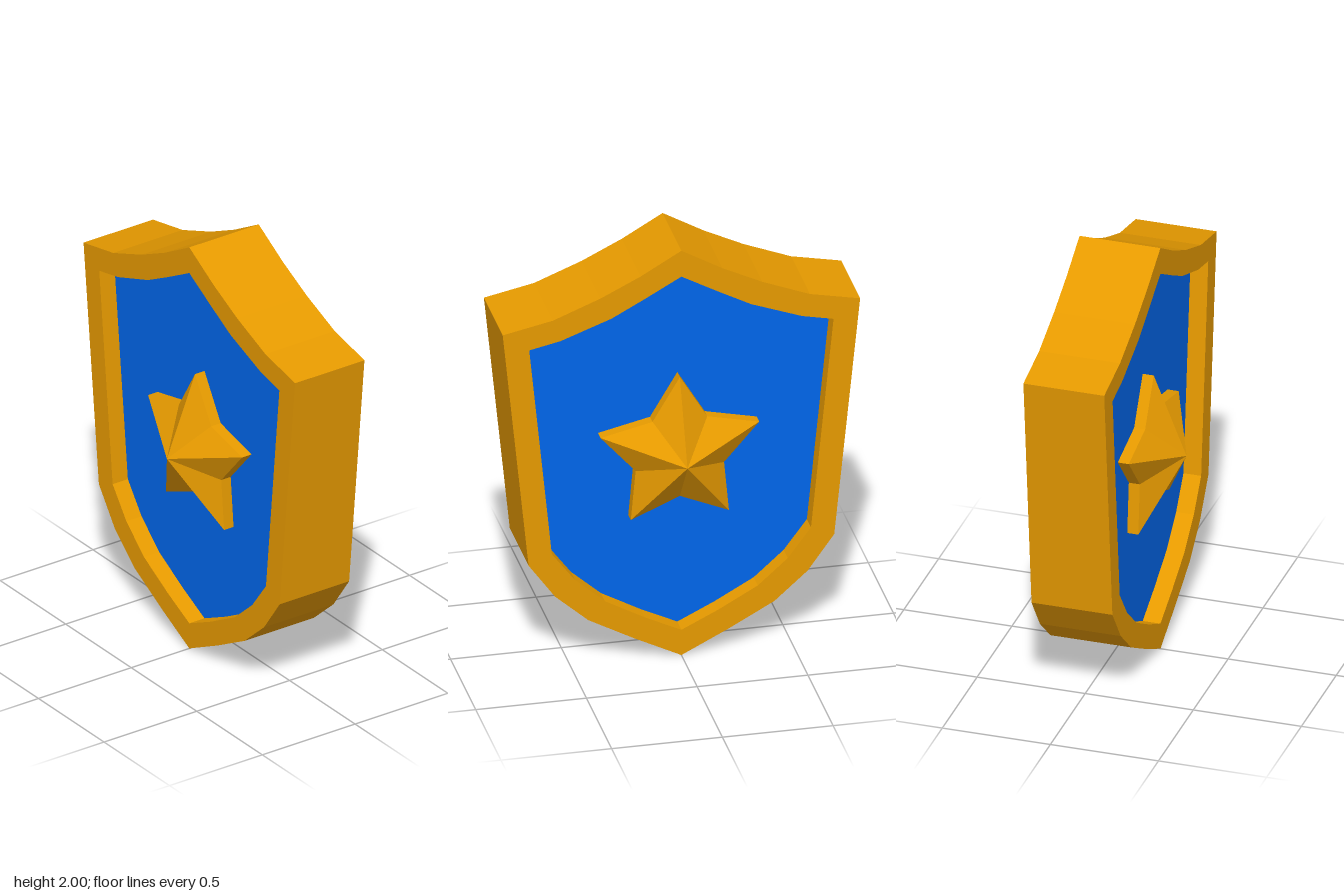
import * as THREE from 'three';

const GOLD = 0xe69a00, BLUE = 0x0066ea;

// Right half of each outline, from top point to bottom point
const OUTER = [[0, 2], [0.185, 1.893], [0.365, 1.805], [0.58, 1.72], [0.807, 1.673],
  [0.69, 0.52], [0.57, 0.353], [0.42, 0.22], [0.215, 0.108], [0, 0]];
const INNER = [[0, 1.872], [0.165, 1.78], [0.315, 1.7], [0.545, 1.615], [0.687, 1.585],
  [0.585, 0.565], [0.48, 0.425], [0.345, 0.305], [0.165, 0.205], [0, 0.125]];

// Mirror a half outline into a closed, counter-clockwise one
function mirrored(half) {
  const left = half.slice(1, -1).reverse().map(([x, y]) => [-x, y]);
  return [...half, ...left].reverse().map(([x, y]) => new THREE.Vector2(x, y));
}

// Extrude a shape centred on z = 0
function slab(shape, halfDepth) {
  const geo = new THREE.ExtrudeGeometry(shape, { depth: 2 * halfDepth, bevelEnabled: false });
  return geo.translate(0, 0, -halfDepth);
}

// Faceted star: a peak on front and back joined by short straight walls
function starGeometry(outerR, innerR, edgeZ, peakZ) {
  const pos = [];
  const corner = (i, z) => {
    const a = Math.PI / 2 + (i * Math.PI) / 5;
    const r = i % 2 ? innerR : outerR;
    return [r * Math.cos(a), r * Math.sin(a), z];
  };
  for (let i = 0; i < 10; i++) {
    const f0 = corner(i, edgeZ), f1 = corner(i + 1, edgeZ);
    const b0 = corner(i, -edgeZ), b1 = corner(i + 1, -edgeZ);
    pos.push(0, 0, peakZ, ...f0, ...f1);
    pos.push(0, 0, -peakZ, ...b1, ...b0);
    pos.push(...f0, ...b0, ...b1, ...f0, ...b1, ...f1);
  }
  const geo = new THREE.BufferGeometry();
  geo.setAttribute('position', new THREE.Float32BufferAttribute(pos, 3));
  geo.computeVertexNormals();
  return geo;
}

export function createModel() {
  const group = new THREE.Group();
  group.name = 'shield';
  const gold = new THREE.MeshStandardMaterial({ color: GOLD, flatShading: true });
  const blue = new THREE.MeshStandardMaterial({ color: BLUE, flatShading: true });
  const add = (name, geo, mat) => {
    const mesh = new THREE.Mesh(geo, mat);
    mesh.name = name;
    group.add(mesh);
    return mesh;
  };

  // Thick rim with the panel opening cut through it
  const rimShape = new THREE.Shape(mirrored(OUTER));
  rimShape.holes.push(new THREE.Path(mirrored(INNER)));
  add('rim', slab(rimShape, 0.187), gold);

  // Panel recessed on both sides
  add('panel', slab(new THREE.Shape(mirrored(INNER)), 0.105), blue);

  // Star standing out of both faces
  add('star', starGeometry(0.377, 0.21, 0.156, 0.308), gold).position.y = 0.982;

  return group;
}
